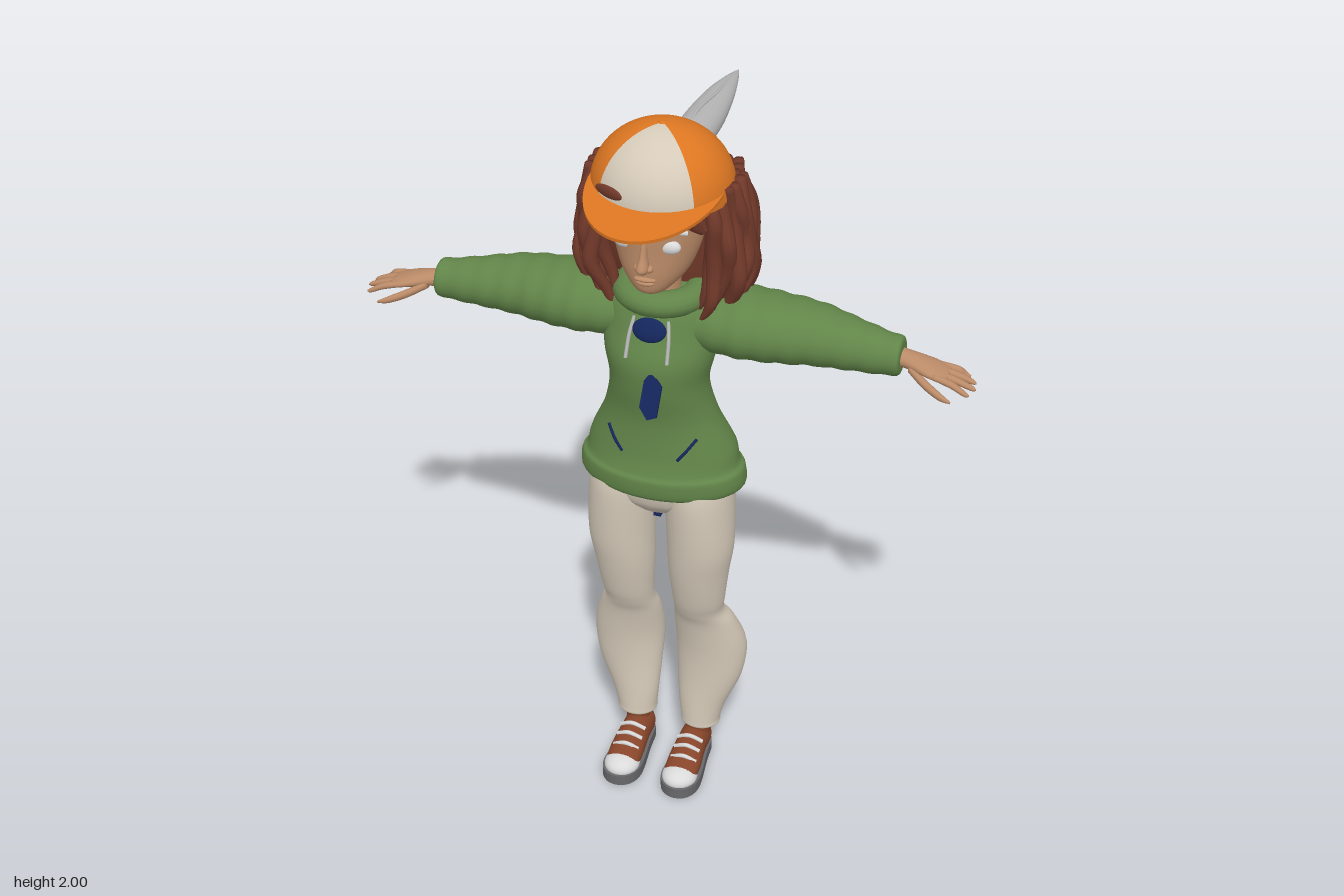
import * as THREE from 'three';

const mat = (name, color, double) => {
  const m = new THREE.MeshStandardMaterial({ color });
  m.name = name;
  if (double) m.side = THREE.DoubleSide;
  return m;
};

// Smooth surface through elliptical sections [p, a, b, ra, rb] along an axis, p increasing.
// Axis y: a,b = x,z; axis x: a,b = y,z; axis z: a,b = x,y.
function loft(axis, rows, n = 24, steps = 40, ripple = 0) {
  const pos = [], idx = [];
  const put = (p, a, b) => pos.push(...(axis === 'y' ? [a, p, b] : axis === 'x' ? [p, a, b] : [a, b, p]));
  const at = (t) => {
    const i = Math.min(Math.floor(t), rows.length - 2), f = t - i;
    const r = (k) => rows[Math.max(0, Math.min(rows.length - 1, k))];
    return rows[0].map((_, c) => {
      const [A, B, C, D] = [r(i - 1)[c], r(i)[c], r(i + 1)[c], r(i + 2)[c]];
      return B + 0.5 * f * (C - A + f * (2 * A - 5 * B + 4 * C - D + f * (3 * (B - C) + D - A)));
    });
  };
  for (let i = 0; i <= steps; i++) {
    const [p, a, b, ra, rb] = at((i / steps) * (rows.length - 1));
    const k = 1 + ripple * Math.sin(p * 95);
    for (let j = 0; j < n; j++) {
      const c = Math.cos((j / n) * Math.PI * 2), s = Math.sin((j / n) * Math.PI * 2);
      const [u, v] = axis === 'y' ? [s, c] : [c, s];
      put(p, a + ra * u * k, b + rb * v * k);
      if (i < steps) {
        const q = i * n + j, w = i * n + ((j + 1) % n);
        idx.push(q, w, q + n, w, w + n, q + n);
      }
    }
  }
  const e = steps * n, c0 = (steps + 1) * n;
  put(...rows[0].slice(0, 3));
  put(...rows[rows.length - 1].slice(0, 3));
  for (let j = 0; j < n; j++) idx.push(c0, (j + 1) % n, j, c0 + 1, e + j, e + ((j + 1) % n));
  const g = new THREE.BufferGeometry();
  g.setAttribute('position', new THREE.Float32BufferAttribute(pos, 3));
  g.setIndex(idx);
  g.computeVertexNormals();
  return g;
}

function mirrored(geo) {
  const g = geo.clone();
  const p = g.attributes.position, nm = g.attributes.normal;
  for (let i = 0; i < p.count; i++) { p.setX(i, -p.getX(i)); nm.setX(i, -nm.getX(i)); }
  if (!g.index) g.setIndex([...Array(p.count).keys()]);
  const a = g.index.array;
  for (let i = 0; i < a.length; i += 3) [a[i], a[i + 1]] = [a[i + 1], a[i]];
  return g;
}

const ball = (x, y, z, rx, ry, rz) => new THREE.SphereGeometry(1, 24, 16).scale(rx, ry, rz).translate(x, y, z);
const tube = (pts, r) => new THREE.TubeGeometry(
  new THREE.CatmullRomCurve3(pts.map((p) => new THREE.Vector3(...p))), 16, r, 8);

export function createModel() {
  const model = new THREE.Group();
  model.name = 'capGirl';
  const skin = mat('skin', 0xbb8b68), hair = mat('hairBrown', 0x71392a), orange = mat('capOrange', 0xdd7722, true);
  const cream = mat('cream', 0xd5cab9, true), green = mat('hoodieGreen', 0x628549, true), grey = mat('featherGrey', 0xb4b4b5);
  const blue = mat('navy', 0x14265c), sole = mat('soleGrey', 0x68686b), shoe = mat('shoeBrown', 0x87452a), white = mat('white', 0xdadada);
  const add = (name, geo, m) => {
    const mesh = new THREE.Mesh(geo, m);
    mesh.name = name;
    model.add(mesh);
    return mesh;
  };
  const pair = (name, geo, m) => { add(name + 'Left', geo, m); add(name + 'Right', mirrored(geo), m); };

  // Trousers
  add('trouserSeat', loft('y', [[0.9, 0, 0.18, 0.09, 0.07], [0.94, 0, 0.175, 0.17, 0.105], [1, 0, 0.168, 0.2, 0.125], [1.06, 0, 0.168, 0.19, 0.12]]), cream);
  pair('trouserLeg', loft('y', [[0.115, 0.095, 0.133, 0.045, 0.04], [0.122, 0.095, 0.133, 0.056, 0.05],
    [0.14, 0.095, 0.133, 0.057, 0.05], [0.2, 0.1, 0.132, 0.068, 0.049], [0.3, 0.117, 0.12, 0.092, 0.06],
    [0.4, 0.12, 0.113, 0.1, 0.073], [0.5, 0.108, 0.14, 0.086, 0.063], [0.55, 0.1, 0.165, 0.07, 0.058],
    [0.6, 0.102, 0.178, 0.073, 0.063], [0.7, 0.105, 0.187, 0.083, 0.077], [0.8, 0.111, 0.19, 0.091, 0.09],
    [0.95, 0.106, 0.182, 0.092, 0.108], [1.02, 0.1, 0.17, 0.09, 0.11]], 28, 60), cream);
  add('waistLabel', new THREE.BoxGeometry(0.05, 0.03, 0.02).translate(0, 0.99, 0.03), shoe);
  add('crotchLining', new THREE.BoxGeometry(0.02, 0.05, 0.09).translate(0, 0.895, 0.18), blue);
  for (const a of [2.25, 3.25]) {
    const patch = new THREE.CylinderGeometry(1, 1, 0.03, 16, 1, true, a, 0.8).scale(0.207, 1, 0.132);
    add('shirtTail', patch.translate(0, 0.968, 0.17), green);
  }

  // Hoodie
  add('hoodieBody', loft('y', [[0.968, 0, 0.165, 0.195, 0.125], [0.985, 0, 0.165, 0.224, 0.142], [1.03, 0, 0.168, 0.222, 0.143],
    [1.05, 0, 0.168, 0.207, 0.133], [1.1, 0, 0.165, 0.196, 0.125], [1.2, 0, 0.18, 0.152, 0.105],
    [1.3, 0, 0.196, 0.131, 0.106], [1.38, 0, 0.19, 0.145, 0.115], [1.45, 0, 0.17, 0.155, 0.11],
    [1.52, 0, 0.155, 0.15, 0.1], [1.56, 0, 0.15, 0.1, 0.08]], 36, 70), green);
  pair('sleeve', loft('x', [[0.08, 1.465, 0.15, 0.07, 0.09], [0.2, 1.468, 0.145, 0.087, 0.113], [0.3, 1.465, 0.14, 0.085, 0.106],
    [0.4, 1.46, 0.132, 0.077, 0.092], [0.5, 1.454, 0.14, 0.065, 0.072], [0.58, 1.45, 0.148, 0.055, 0.056],
    [0.615, 1.45, 0.15, 0.05, 0.05], [0.622, 1.45, 0.15, 0.038, 0.038]], 24, 60, 0.02), green);
  add('hood', ball(0, 1.455, 0.065, 0.125, 0.1, 0.075), green);
  add('hoodCollar', new THREE.TorusGeometry(0.092, 0.038, 14, 36).rotateX(Math.PI / 2).scale(1, 0.9, 1).translate(0, 1.542, 0.16), green);
  add('neckOpening', ball(0, 0, 0, 0.045, 0.032, 0.012).rotateX(-0.4).translate(0, 1.475, 0.272), blue);
  pair('hoodString', tube([[0.045, 1.5, 0.255], [0.052, 1.46, 0.275], [0.055, 1.4, 0.3]], 0.005), grey);
  pair('pocketSlit', tube([[0.075, 1.1, 0.28], [0.098, 1.13, 0.273], [0.12, 1.16, 0.253]], 0.004), blue);
  const tag = new THREE.Shape();
  [[-0.02, 0.04], [-0.005, 0.062], [0.015, 0.045], [0.028, 0.03], [0.024, -0.05], [0, -0.06], [-0.024, -0.03]]
    .forEach(([x, y], i) => (i ? tag.lineTo(x, y) : tag.moveTo(x, y)));
  add('pendant', new THREE.ExtrudeGeometry(tag, { depth: 0.008, bevelEnabled: false })
    .rotateX(-0.4).translate(0.018, 1.31, 0.32), blue);

  // Hands
  pair('palm', loft('x', [[0.6, 1.45, 0.15, 0.024, 0.028], [0.64, 1.447, 0.155, 0.021, 0.031], [0.69, 1.44, 0.163, 0.017, 0.042],
    [0.73, 1.432, 0.168, 0.012, 0.043], [0.745, 1.43, 0.168, 0.006, 0.036]], 16, 20), skin);
  [[0.79, 0.12], [0.81, 0.148], [0.815, 0.178], [0.805, 0.21]].forEach(([tip, z], i) => {
    const z0 = 0.136 + i * 0.021;
    pair('finger' + (i + 1), loft('x', [[0.71, 1.437, z0, 0.008, 0.01], [0.76, 1.425, (z0 + z) / 2, 0.009, 0.0105],
      [tip - 0.012, 1.41, z, 0.007, 0.008], [tip, 1.406, z, 0.002, 0.003]], 10, 12), skin);
  });
  pair('thumb', loft('x', [[0.645, 1.437, 0.175, 0.012, 0.015], [0.69, 1.418, 0.207, 0.012, 0.014],
    [0.735, 1.403, 0.23, 0.01, 0.01], [0.765, 1.395, 0.238, 0.003, 0.003]], 10, 14), skin);

  // Shoes
  const plan = new THREE.Shape();
  plan.moveTo(0.045, 0.13);
  plan.bezierCurveTo(0.045, 0.075, 0.125, 0.075, 0.125, 0.13);
  plan.bezierCurveTo(0.128, 0.2, 0.142, 0.24, 0.142, 0.29);
  plan.bezierCurveTo(0.14, 0.375, 0.035, 0.375, 0.031, 0.29);
  plan.bezierCurveTo(0.03, 0.24, 0.043, 0.2, 0.045, 0.13);
  pair('shoeSole', new THREE.ExtrudeGeometry(plan, { depth: 0.032, bevelEnabled: false }).rotateX(Math.PI / 2).translate(0, 0.032, 0), sole);
  pair('shoeUpper', loft('z', [[0.095, 0.085, 0.055, 0.025, 0.03], [0.125, 0.085, 0.06, 0.04, 0.043], [0.19, 0.085, 0.062, 0.043, 0.045],
    [0.25, 0.086, 0.05, 0.048, 0.037], [0.3, 0.086, 0.04, 0.047, 0.026]]), shoe);
  pair('toeCap', ball(0.086, 0.036, 0.295, 0.05, 0.031, 0.052), white);
  for (const [z, y] of [[0.2, 0.106], [0.23, 0.095], [0.26, 0.081]])
    pair('shoelace', tube([[0.05, y - 0.015, z], [0.086, y + 0.002, z + 0.006], [0.122, y - 0.015, z]], 0.006), white);
  pair('ankle', new THREE.CylinderGeometry(0.034, 0.034, 0.1, 16).translate(0.09, 0.11, 0.14), shoe);

  // Head and face
  add('neck', new THREE.CylinderGeometry(0.048, 0.055, 0.2, 20).translate(0, 1.55, 0.18), skin);
  add('head', loft('y', [[1.583, 0, 0.25, 0.018, 0.02], [1.598, 0, 0.242, 0.047, 0.055], [1.64, 0, 0.215, 0.085, 0.09],
    [1.7, 0, 0.198, 0.109, 0.108], [1.76, 0, 0.192, 0.117, 0.116], [1.82, 0, 0.185, 0.118, 0.12], [1.89, 0, 0.17, 0.1, 0.11]], 32, 40), skin);
  add('noseBridge', loft('y', [[1.665, 0, 0.315, 0.012, 0.015], [1.678, 0, 0.32, 0.016, 0.022], [1.71, 0, 0.308, 0.01, 0.018], [1.76, 0, 0.3, 0.008, 0.01]], 14, 14), skin);
  pair('nostril', ball(0.015, 1.674, 0.31, 0.01, 0.009, 0.013), skin);
  add('upperLip', ball(0, 1.639, 0.302, 0.029, 0.007, 0.012), skin);
  add('lowerLip', ball(0, 1.627, 0.299, 0.024, 0.008, 0.012), skin);
  pair('eye', ball(0.056, 1.73, 0.283, 0.031, 0.02, 0.016), white);
  pair('eyebrow', tube([[0.022, 1.765, 0.306], [0.06, 1.775, 0.292], [0.095, 1.762, 0.262]], 0.007), white);
  add('earCuff', tube([[-0.115, 1.845, 0.27], [-0.137, 1.81, 0.264], [-0.122, 1.77, 0.262]], 0.009), white);

  // Hair: inner mass and wavy locks
  add('hairMass', loft('y', [[1.46, 0, 0.07, 0.11, 0.06], [1.55, 0, 0.075, 0.17, 0.08], [1.66, 0, 0.08, 0.195, 0.09],
    [1.78, 0, 0.09, 0.175, 0.1], [1.88, 0, 0.11, 0.15, 0.1]]), hair);
  const bell = [0.66, 0.88, 1, 0.97, 0.92, 0.85];
  const thick = [0.003, 0.016, 0.021, 0.021, 0.02, 0.013];
  const lock = (angle, k, reach) => {
    const bottom = 1.475 + 0.035 * Math.sin(k * 2.4), rows = [];
    bell.forEach((b, i) => {
      const wave = 0.013 * Math.sin(i * 2 + k * 1.7), t = i / 5;
      rows.push([bottom + (1.865 - bottom) * t,
        Math.sin(angle) * 0.222 * b * reach + wave * Math.cos(angle),
        0.13 + Math.cos(angle) * 0.138 * (0.75 + 0.25 * b) * reach + wave * Math.sin(angle), thick[i], thick[i]]);
    });
    add('hairLock', loft('y', rows, 9, 22), hair);
  };
  for (let k = 0; k < 27; k++) lock(0.8 + (k / 26) * (Math.PI * 2 - 1.6), k, 1);
  for (let k = 0; k < 22; k++) lock(0.85 + (k / 21) * (Math.PI * 2 - 1.7), k + 0.5, 0.88);
  for (let k = 0; k < 3; k++) {
    add('fringe', tube([[-0.03 + k * 0.03, 1.855, 0.3], [0.05 + k * 0.02, 1.84 - k * 0.005, 0.295], [0.105, 1.81 - k * 0.01, 0.262], [0.128, 1.765, 0.235]], 0.015), hair);
    add('fringe', tube([[-0.03, 1.855, 0.3], [-0.08 - k * 0.01, 1.845, 0.285], [-0.125 - k * 0.01, 1.81, 0.235]], 0.012), hair);
  }

  // Cap
  const dome = (start, length) => new THREE.SphereGeometry(1, 40, 20, start, length, 0, Math.PI * 0.52)
    .scale(0.181, 0.165, 0.172).translate(0, 1.833, 0.16);
  const half = 0.74;
  add('capPanel', dome(Math.PI / 2 - half, half * 2), cream);
  add('capCrown', dome(Math.PI / 2 + half, Math.PI * 2 - half * 2), orange);
  add('capButton', ball(0, 1.996, 0.16, 0.011, 0.006, 0.011), orange);
  const brim = new THREE.Shape();
  brim.moveTo(-0.172, 0.19);
  brim.bezierCurveTo(-0.175, 0.33, -0.1, 0.458, 0, 0.458);
  brim.bezierCurveTo(0.1, 0.458, 0.175, 0.33, 0.172, 0.19);
  add('capBrim', new THREE.ExtrudeGeometry(brim, { depth: 0.009, bevelEnabled: false, curveSegments: 20 })
    .rotateX(Math.PI / 2 + 0.12).translate(0, 1.883, 0), orange);
  add('strayCurl', ball(0, 0, 0, 0.045, 0.016, 0.008).rotateY(-0.45).translate(-0.088, 1.868, 0.308), hair);

  // Feather
  add('feather', loft('z', [[-0.457, 0, 1.86, 0.002, 0.002], [-0.4, 0, 1.862, 0.018, 0.012], [-0.3, 0, 1.861, 0.038, 0.026],
    [-0.18, 0, 1.856, 0.051, 0.037], [-0.08, 0, 1.855, 0.052, 0.041], [-0.02, 0, 1.86, 0.038, 0.032], [0.02, 0, 1.865, 0.025, 0.02]], 20, 36), grey);
  add('featherShaft', tube([[0.005, 1.885, 0], [-0.006, 1.895, -0.12], [0.006, 1.887, -0.27], [0, 1.866, -0.43]], 0.005), grey);
  return model;
}
